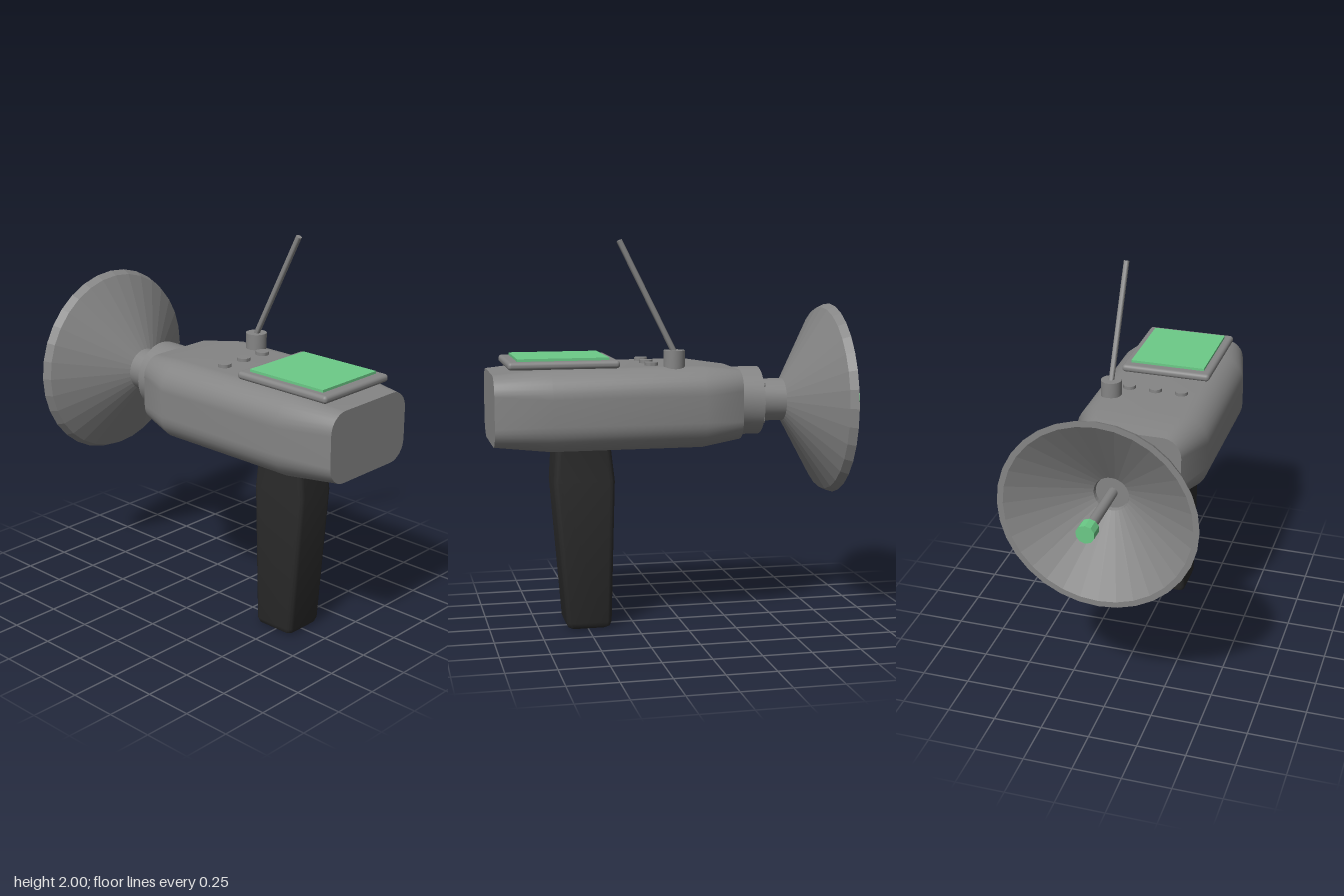
import * as THREE from 'three';
import { toCreasedNormals } from 'three/addons/utils/BufferGeometryUtils.js';
import { RoundedBoxGeometry } from 'three/addons/geometries/RoundedBoxGeometry.js';

// Rounded-rectangle ring, counter-clockwise
function ring(cx, cy, hw, hh, r, steps = 8) {
  const pts = [];
  [[1, 1], [-1, 1], [-1, -1], [1, -1]].forEach(([sx, sy], q) => {
    for (let i = 0; i <= steps; i++) {
      const a = (q + i / steps) * Math.PI / 2;
      pts.push([cx + sx * (hw - r) + r * Math.cos(a), cy + sy * (hh - r) + r * Math.sin(a)]);
    }
  });
  return pts;
}

// Skin over sections [z, cx, cy, halfWidth, halfHeight, radius], with flat end caps
function loft(sections) {
  const pos = [], idx = [];
  const rings = sections.map(([z, ...s]) => ring(...s).map(([x, y]) => [x, y, z]));
  const n = rings[0].length;
  rings.forEach(r => r.forEach(p => pos.push(...p)));
  for (let i = 0; i < rings.length - 1; i++) {
    for (let j = 0; j < n; j++) {
      const a = i * n + j, b = i * n + (j + 1) % n;
      idx.push(a, b, a + n, b, b + n, a + n);
    }
  }
  [0, rings.length - 1].forEach((k, end) => {
    const c = pos.length / 3, [z, cx, cy] = sections[k];
    pos.push(cx, cy, z);
    rings[k].forEach(p => pos.push(...p));
    for (let j = 0; j < n; j++) {
      const a = c + 1 + j, b = c + 1 + (j + 1) % n;
      if (end) idx.push(c, a, b); else idx.push(c, b, a);
    }
  });
  const g = new THREE.BufferGeometry();
  g.setAttribute('position', new THREE.Float32BufferAttribute(pos, 3));
  g.setIndex(idx);
  g.computeVertexNormals();
  return g;
}

export function createModel() {
  const model = new THREE.Group();
  model.name = 'handheldScanner';
  const grey = new THREE.MeshStandardMaterial({ name: 'grey', color: 0x858585 });
  const black = new THREE.MeshStandardMaterial({ name: 'black', color: 0x2b2b2b });
  const green = new THREE.MeshStandardMaterial({ name: 'green', color: 0x6ccb88 });

  const add = (name, geo, mat, x = 0, y = 0, z = 0) => {
    const m = new THREE.Mesh(geo, mat);
    m.name = name;
    m.position.set(x, y, z);
    model.add(m);
    return m;
  };
  const axisY = 1.157;
  // Cylinder along z between two depths
  const rod = (name, r, z0, z1, sides, mat = grey, x = 0, y = axisY) =>
    add(name, toCreasedNormals(new THREE.CylinderGeometry(r, r, Math.abs(z1 - z0), sides).rotateX(-Math.PI / 2), 0.6),
      mat, x, y, (z0 + z1) / 2);

  // Tapered body
  add('body', loft([
    [-0.28, 0, axisY, 0.265, 0.178, 0.1],
    [-0.07, 0, axisY, 0.348, 0.207, 0.14],
    [0.7, 0, axisY, 0.348, 0.207, 0.14],
    [0.98, 0, axisY, 0.28, 0.18, 0.1],
  ]), grey);

  // Grip, lofted upwards with a softened foot
  add('grip', toCreasedNormals(loft([
    [0, 0, -0.493, 0.09, 0.09, 0.02],
    [0.01, 0, -0.493, 0.107, 0.109, 0.027],
    [0.035, 0, -0.494, 0.116, 0.118, 0.03],
    [0.77, 0, -0.513, 0.118, 0.158, 0.03],
    [0.97, 0, -0.518, 0.118, 0.14, 0.03],
  ]).rotateX(-Math.PI / 2), 0.7), black);

  // Screen and its frame
  add('screenFrame', new RoundedBoxGeometry(0.48, 0.04, 0.56, 3, 0.018), grey, 0, 1.381, 0.628);
  add('screen', new THREE.BoxGeometry(0.4, 0.02, 0.46), green, 0, 1.404, 0.628);

  // Buttons
  for (const x of [-0.14, 0, 0.14]) {
    add('button', toCreasedNormals(new THREE.CylinderGeometry(0.034, 0.034, 0.03, 24), 0.6), grey, x, 1.366, 0.173);
  }

  // Aerial leaning forward
  add('aerialBase', toCreasedNormals(new THREE.CylinderGeometry(0.054, 0.054, 0.1, 24), 0.6), grey, 0.207, 1.395, 0.07);
  const from = new THREE.Vector3(0.207, 1.42, 0.062), to = new THREE.Vector3(0.207, 1.992, 0.347);
  const dir = to.clone().sub(from);
  const aerial = add('aerial', toCreasedNormals(new THREE.CylinderGeometry(0.015, 0.015, dir.length(), 12), 0.6), grey,
    ...from.clone().add(to).multiplyScalar(0.5));
  aerial.quaternion.setFromUnitVectors(new THREE.Vector3(0, 1, 0), dir.normalize());

  // Collar, neck and bolts
  rod('collar', 0.178, -0.26, -0.42, 32);
  rod('neck', 0.111, -0.4, -0.565, 32);
  for (const sx of [-1, 1]) for (const sy of [-1, 1]) {
    rod('bolt', 0.02, -0.41, -0.437, 10, grey, sx * 0.092, axisY + sy * 0.092);
  }

  // Faceted hollow dish opening to the back
  const profile = [[0, 0.555], [0.111, 0.555], [0.481, 0.772], [0.5, 0.814], [0.47, 0.814], [0.09, 0.585], [0.085, 0.565], [0, 0.565]];
  const dish = new THREE.LatheGeometry(profile.map(p => new THREE.Vector2(...p)), 32).rotateX(-Math.PI / 2).toNonIndexed();
  dish.computeVertexNormals();
  add('dish', dish, grey, 0, axisY, 0);

  // Feed rod and tip
  rod('feedRod', 0.026, -0.555, -0.92, 12);
  rod('feedTip', 0.047, -0.91, -0.98, 10, green);

  return model;
}
